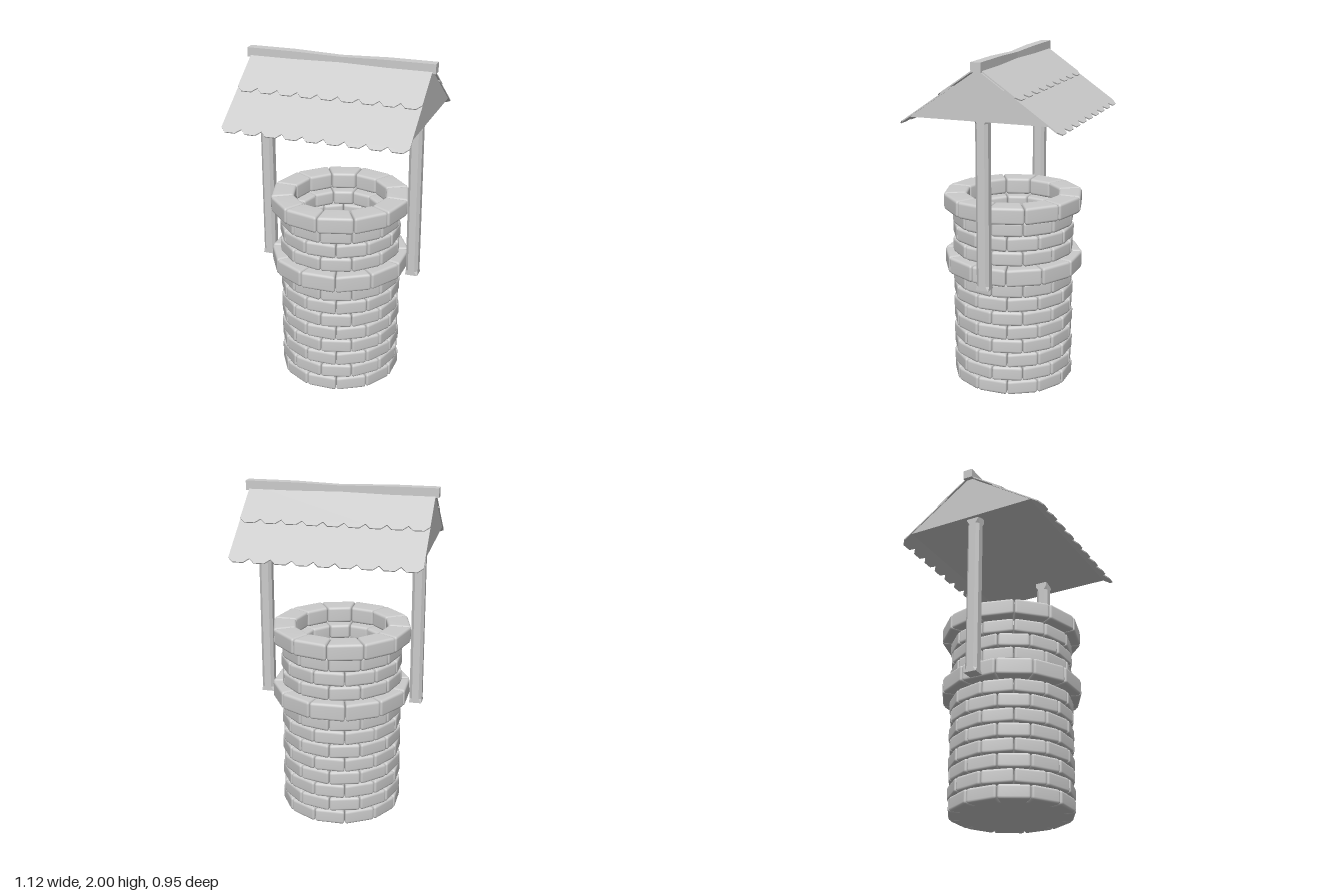
import * as THREE from 'three';
import { mergeVertices } from 'three/addons/utils/BufferGeometryUtils.js';
import { RoundedBoxGeometry } from 'three/addons/geometries/RoundedBoxGeometry.js';

const smooth = new THREE.MeshStandardMaterial({ color: 0xcccccc });
const flat = new THREE.MeshStandardMaterial({ color: 0xcccccc, flatShading: true });
const flatDouble = new THREE.MeshStandardMaterial({ color: 0xcccccc, flatShading: true, side: THREE.DoubleSide });

const STONES = 12;

function addMesh(parent, name, geometry, material) {
  const mesh = new THREE.Mesh(geometry, material);
  mesh.name = name;
  parent.add(mesh);
  return mesh;
}

function buildGeometry(points, indices) {
  const g = new THREE.BufferGeometry();
  g.setAttribute('position', new THREE.Float32BufferAttribute(points.flat(), 3));
  g.setIndex(indices);
  g.computeVertexNormals();
  return g;
}

// Rounded block tapered towards the axis; its outer face is at distance `outer`
function stoneGeometry(outer, height) {
  const depth = 0.135;
  const width = 2 * outer * Math.tan(Math.PI / STONES) - 0.003;
  let g = new RoundedBoxGeometry(width, height, depth, 2, 0.017);
  const p = g.attributes.position;
  for (let i = 0; i < p.count; i++) {
    const r = outer - depth / 2 + p.getZ(i);
    p.setXYZ(i, p.getX(i) * r / outer, p.getY(i), r);
  }
  g.deleteAttribute('normal');
  g.deleteAttribute('uv');
  g = mergeVertices(g, 1e-5);
  g.computeVertexNormals();
  return g;
}

function stoneRing(name, outer, bottom, height, seamInFront) {
  const ring = new THREE.Group();
  ring.name = name;
  const geometry = stoneGeometry(outer, height);
  for (let i = 0; i < STONES; i++) {
    const stone = addMesh(ring, 'stone', geometry, smooth);
    stone.position.y = bottom + height / 2;
    stone.rotation.y = (i + (seamInFront ? 0.5 : 0)) * 2 * Math.PI / STONES;
  }
  return ring;
}

function createWell() {
  const well = new THREE.Group();
  well.name = 'wellShaft';
  for (let i = 0; i < 8; i++) well.add(stoneRing('lowerCourse', 0.356, i * 0.0875, 0.086, i % 2 === 1));
  well.add(stoneRing('wideBand', 0.405, 0.7, 0.104, false));
  for (let i = 0; i < 3; i++) well.add(stoneRing('upperCourse', 0.356, 0.806 + i * 0.0885, 0.087, i % 2 === 0));
  well.add(stoneRing('topRim', 0.406, 1.07, 0.1, true));
  const floor = addMesh(well, 'floor', new THREE.CircleGeometry(0.3, 24), flatDouble);
  floor.rotation.x = -Math.PI / 2;
  return well;
}

// Square post whose corner chamfers stop short of both ends
function postGeometry() {
  const hx = 0.037, hz = 0.038;
  const rings = [[0.7, 0.001], [0.725, 0.017], [1.66, 0.017], [1.685, 0.001], [1.71, 0.001]];
  const points = [], indices = [];
  for (const [y, c] of rings) {
    points.push([hx, y, hz - c], [hx - c, y, hz], [c - hx, y, hz], [-hx, y, hz - c],
      [-hx, y, c - hz], [c - hx, y, -hz], [hx - c, y, -hz], [hx, y, c - hz]);
  }
  for (let r = 0; r < rings.length - 1; r++) {
    for (let i = 0; i < 8; i++) {
      const a = r * 8 + i, b = r * 8 + (i + 1) % 8;
      indices.push(a, a + 8, b, b, a + 8, b + 8);
    }
  }
  const top = (rings.length - 1) * 8;
  for (let i = 1; i < 7; i++) indices.push(0, i, i + 1, top, top + i + 1, top + i);
  return buildGeometry(points, indices);
}

// Row of tiles with a notched lower edge; z0 and z1 are horizontal distances from the ridge
const SLOPE = Math.atan(0.686);
const TILE = 0.007;
function tileGeometry(z0, z1, offset) {
  const half = 0.54, bite = 0.03;
  const top = -z0 / Math.cos(SLOPE), tip = -z1 / Math.cos(SLOPE);
  const shape = new THREE.Shape();
  shape.moveTo(-half, top);
  for (let k = 0; k < 10; k++) {
    const x = -half + k * 0.12;
    if (k > 0) shape.lineTo(x - bite, tip);
    shape.lineTo(x, tip + bite);
    if (k < 9) shape.lineTo(x + bite, tip);
  }
  shape.lineTo(half, top);
  const g = new THREE.ExtrudeGeometry(shape, { depth: TILE, bevelEnabled: false });
  g.translate(0, 0, offset);
  g.rotateX(SLOPE - Math.PI / 2);
  g.translate(0, 1.974, 0);
  return g;
}

// Gabled body under the tiles, with a hollowed underside
function roofBodyGeometry() {
  const x = 0.535, z = 0.405, y = 1.68, ridge = 1.957;
  const points = [
    [x, y, z], [x, y, -z], [x, ridge, 0],
    [-x, y, z], [-x, y, -z], [-x, ridge, 0], [0, 1.86, 0]];
  return buildGeometry(points, [
    0, 1, 2, 3, 5, 4,
    0, 2, 5, 0, 5, 3, 1, 4, 5, 1, 5, 2,
    6, 1, 0, 6, 0, 3, 6, 3, 4, 6, 4, 1]);
}

// Ridge beam, sagging and thinning a little towards the middle
function ridgeGeometry() {
  const g = new THREE.BoxGeometry(1.12, 0.055, 0.058, 8, 1, 1);
  const p = g.attributes.position;
  for (let i = 0; i < p.count; i++) {
    const k = Math.max(0, 1 - Math.abs(p.getX(i)) / 0.28);
    p.setY(i, p.getY(i) + 1.9725 - 0.008 * k);
    p.setZ(i, p.getZ(i) * (1 - 0.22 * k) - 0.002);
  }
  return g;
}

function createRoof() {
  const roof = new THREE.Group();
  roof.name = 'roof';
  addMesh(roof, 'roofBody', roofBodyGeometry(), flatDouble);
  addMesh(roof, 'ridgeBeam', ridgeGeometry(), flat);
  const upper = tileGeometry(0, 0.243, -TILE);
  const lower = tileGeometry(0.16, 0.48, -2 * TILE);
  for (const angle of [0, Math.PI]) {
    addMesh(roof, 'upperTiles', upper, flat).rotation.y = angle;
    addMesh(roof, 'lowerTiles', lower, flat).rotation.y = angle;
  }
  return roof;
}

export function createModel() {
  const model = new THREE.Group();
  model.name = 'wishingWell';
  model.add(createWell(), createRoof());
  const post = postGeometry();
  addMesh(model, 'leftPost', post, flat).position.x = 0.459;
  addMesh(model, 'rightPost', post, flat).position.x = -0.459;
  return model;
}
